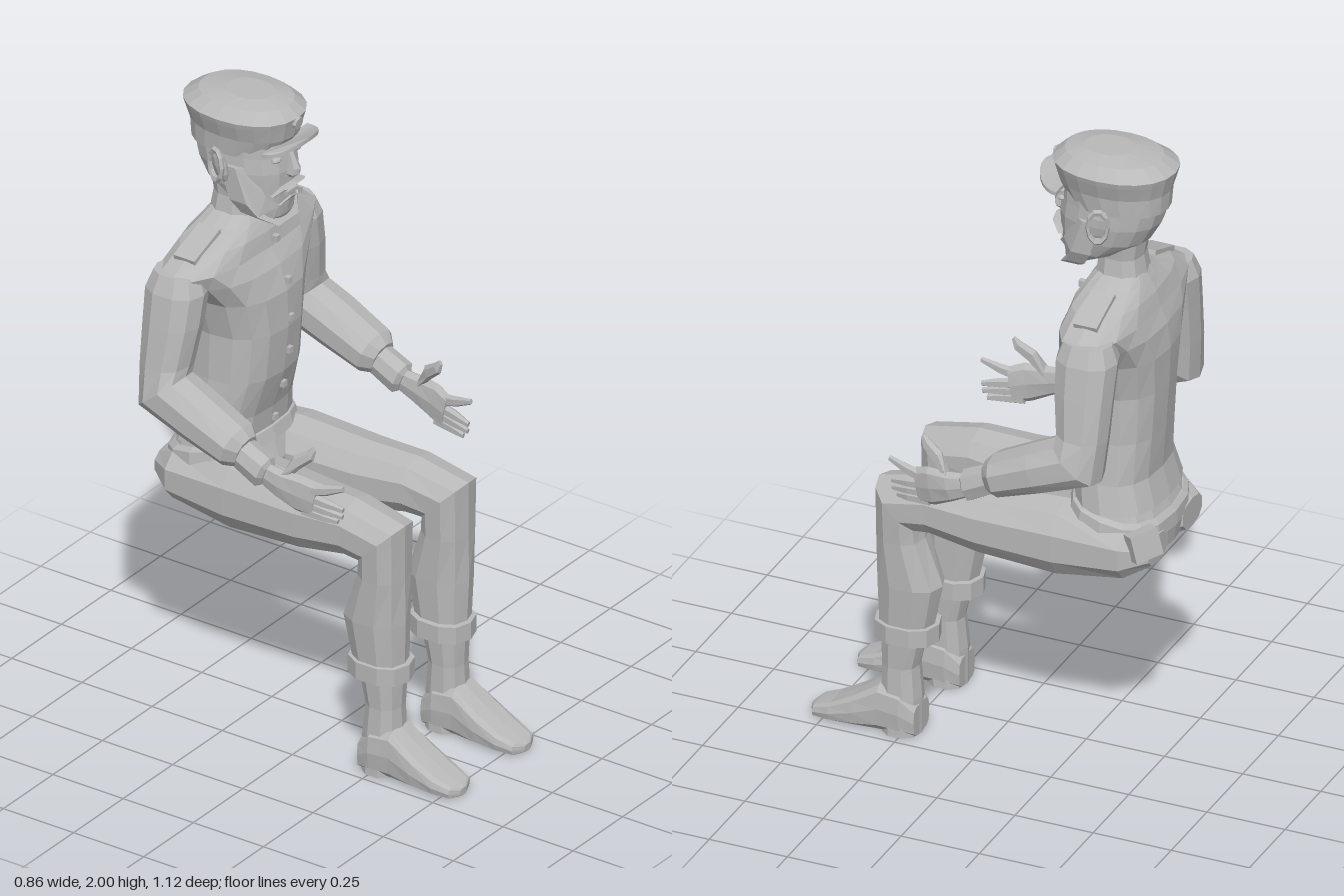
import * as THREE from 'three';

const cloth = new THREE.MeshStandardMaterial({ color: 0xb8b8b8, flatShading: true });
cloth.name = 'plain grey';

// Skin over rings [x, y, z, halfWidth, halfDepth, tilt]; tilt 0 is a level ring, 90 an upright one
function loft(rows, n = 10, power = 0.85) {
  const pos = [], idx = [];
  const bend = v => Math.sign(v) * Math.pow(Math.abs(v), power);
  rows.forEach(([x, y, z, w, d, tilt = 0]) => {
    const a = THREE.MathUtils.degToRad(tilt);
    for (let j = 0; j < n; j++) {
      const t = (j / n) * Math.PI * 2 + Math.PI / 2;
      const v = bend(Math.sin(t)) * d;
      pos.push(x + bend(Math.cos(t)) * w, y + v * Math.sin(a), z + v * Math.cos(a));
    }
  });
  for (let i = 0; i < rows.length - 1; i++) {
    for (let j = 0; j < n; j++) {
      const a = i * n + j, b = i * n + (j + 1) % n;
      idx.push(a, b, b + n, a, b + n, a + n);
    }
  }
  // end caps
  const first = rows.length * n, last = first + 1, base = first - n;
  pos.push(...rows[0].slice(0, 3), ...rows[rows.length - 1].slice(0, 3));
  for (let j = 0; j < n; j++) {
    const k = (j + 1) % n;
    idx.push(first, k, j, last, base + j, base + k);
  }
  const g = new THREE.BufferGeometry();
  g.setAttribute('position', new THREE.Float32BufferAttribute(pos, 3));
  g.setIndex(idx);
  g.computeVertexNormals();
  return g;
}

// Level rings [y, halfWidth, zFront, zBack], listed from the top down
const stack = (rows, n = 16, power = 0.8) =>
  loft(rows.map(([y, w, f, b]) => [0, y, (f + b) / 2, w, (f - b) / 2, 0]), n, power);

export function createModel() {
  const model = new THREE.Group();
  model.name = 'seatedMan';
  const add = (name, geo, p = [0, 0, 0], r = [0, 0, 0], s = [1, 1, 1]) => {
    const m = new THREE.Mesh(geo, cloth);
    m.name = name;
    m.position.set(...p);
    m.rotation.set(...r);
    m.scale.set(...s);
    model.add(m);
    return m;
  };
  const box = (x, y, z) => new THREE.BoxGeometry(x, y, z);

  // jacket, hips and belt
  add('jacket', stack([
    [1.61, 0.075, -0.3, -0.44], [1.585, 0.13, -0.28, -0.455], [1.55, 0.24, -0.26, -0.475],
    [1.5, 0.335, -0.25, -0.49], [1.45, 0.27, -0.22, -0.51], [1.37, 0.2, -0.195, -0.52],
    [1.25, 0.168, -0.19, -0.515], [1.1, 0.172, -0.205, -0.505], [0.97, 0.187, -0.245, -0.495],
    [0.88, 0.205, -0.255, -0.52]]));
  add('hips', stack([
    [0.89, 0.195, -0.255, -0.5], [0.8, 0.22, -0.22, -0.54], [0.73, 0.19, -0.22, -0.53],
    [0.68, 0.11, -0.25, -0.45]]));
  add('belt', loft([[0, 0.875, -0.392, 0.2, 0.135, 14], [0, 0.865, -0.392, 0.217, 0.15, 14],
    [0, 0.825, -0.388, 0.222, 0.158, 14], [0, 0.815, -0.388, 0.2, 0.135, 14]], 16, 0.8));
  add('beltPouch', box(0.09, 0.085, 0.045), [0.19, 0.81, -0.52], [0.25, -0.65, 0]);

  // jacket buttons
  [[1.525, -0.242], [1.4, -0.199], [1.28, -0.19], [1.17, -0.195], [1.05, -0.217], [0.93, -0.247]].forEach(([y, z]) =>
    add('button', box(0.018, 0.02, 0.018), [0.01, y, z]));

  // neck and head
  add('neck', stack([[1.76, 0.08, -0.29, -0.45], [1.66, 0.07, -0.3, -0.435], [1.57, 0.085, -0.29, -0.45]], 10));
  add('head', stack([
    [1.91, 0.112, -0.185, -0.5], [1.83, 0.114, -0.183, -0.505], [1.78, 0.116, -0.178, -0.49],
    [1.72, 0.108, -0.182, -0.455], [1.67, 0.094, -0.188, -0.38], [1.63, 0.07, -0.195, -0.29],
    [1.61, 0.04, -0.205, -0.265]], 16, 0.9));

  // beard: a U-shaped slab wrapped round the jaw
  const u = new THREE.Shape();
  u.moveTo(-0.125, 1.8);
  [[-0.122, 1.69], [-0.1, 1.645], [-0.05, 1.608], [0.05, 1.608], [0.1, 1.645], [0.122, 1.69], [0.125, 1.8],
    [0.1, 1.8], [0.08, 1.71], [0.045, 1.675], [0, 1.69], [-0.045, 1.675], [-0.08, 1.71], [-0.1, 1.8]]
    .forEach(p => u.lineTo(...p));
  const beard = new THREE.ExtrudeGeometry(u, { depth: 0.06, bevelEnabled: false });
  const bp = beard.attributes.position;
  for (let i = 0; i < bp.count; i++) {
    const x = bp.getX(i), y = bp.getY(i);
    bp.setZ(i, bp.getZ(i) - 0.237 - 5.2 * x * x - Math.max(0, y - 1.7) * 0.35);
  }
  beard.computeVertexNormals();
  add('beard', beard);

  // face
  add('nose', loft([[0, 1.835, -0.185, 0.01, 0.012], [0, 1.79, -0.172, 0.018, 0.022],
    [0, 1.77, -0.175, 0.022, 0.024], [0, 1.758, -0.182, 0.012, 0.012]], 6));
  add('mouth', box(0.05, 0.012, 0.02), [0, 1.708, -0.185]);
  for (const s of [1, -1]) {
    add('moustache', loft([[0, 1.742, -0.168, 0.006, 0.014, 0], [s * 0.04, 1.735, -0.177, 0.014, 0.016, 0],
      [s * 0.068, 1.712, -0.198, 0.006, 0.008, 0]], 6));
    add('eye', new THREE.SphereGeometry(0.02, 8, 6), [s * 0.05, 1.825, -0.198], [0, 0, 0], [1, 0.5, 0.7]);
    add('eyebrow', box(0.055, 0.012, 0.02), [s * 0.052, 1.855, -0.195], [0, s * 0.3, -s * 0.12]);
    add('ear', new THREE.SphereGeometry(0.055, 8, 6), [s * 0.128, 1.8, -0.345], [-0.2, s * 0.35, -s * 0.1], [0.28, 1.05, 0.62]);
    add('earRim', new THREE.TorusGeometry(0.04, 0.009, 5, 10), [s * 0.14, 1.802, -0.35],
      [0, s * (Math.PI / 2 + 0.35), 0], [0.75, 1.25, 1]);
  }

  // cap with visor and badge
  add('capCrown', stack([
    [2, 0.06, -0.25, -0.4], [1.988, 0.11, -0.19, -0.49], [1.957, 0.147, -0.155, -0.537],
    [1.94, 0.142, -0.16, -0.532], [1.89, 0.124, -0.172, -0.518], [1.83, 0.118, -0.21, -0.512]], 20, 0.92));
  const brim = new THREE.Shape().absellipse(0, 0, 0.115, 0.09, Math.PI, Math.PI * 2);
  const visor = new THREE.ExtrudeGeometry(brim, { depth: 0.012, bevelEnabled: false, curveSegments: 8 });
  visor.rotateX(-Math.PI / 2);
  const vp = visor.attributes.position;
  for (let i = 0; i < vp.count; i++) vp.setY(i, vp.getY(i) - 2.4 * vp.getX(i) ** 2);
  visor.computeVertexNormals();
  add('capVisor', visor, [0, 1.892, -0.205]);
  add('capBadge', new THREE.CylinderGeometry(0.02, 0.02, 0.02, 8), [0, 1.94, -0.162], [Math.PI / 2 + 0.15, 0, 0]);

  for (const s of [1, -1]) {
    // mirror a limb by its ring centres
    const limb = (name, rows, n, power) => add(name, loft(rows.map(([x, ...r]) => [s * x, ...r]), n, power));

    add('shoulderStrap', box(0.14, 0.02, 0.075), [s * 0.205, 1.56, -0.37], [0, 0, -s * 0.36]);

    // sleeve and cuff
    limb('sleeve', [
      [0.28, 1.505, -0.385, 0.06, 0.075, 0], [0.285, 1.45, -0.385, 0.08, 0.095, 0], [0.305, 1.35, -0.385, 0.078, 0.09, 0],
      [0.328, 1.22, -0.39, 0.077, 0.078, 5], [0.345, 1.14, -0.385, 0.083, 0.092, 40],
      [0.347, 1.09, -0.26, 0.085, 0.075, 70], [0.346, 1.035, -0.13, 0.08, 0.064, 72],
      [0.345, 1.02, -0.1, 0.05, 0.05, 72]]);
    limb('cuff', [[0.345, 1.025, -0.13, 0.047, 0.046, 72], [0.345, 0.975, -0.03, 0.047, 0.05, 72],
      [0.345, 0.97, -0.02, 0.03, 0.035, 72]], 8);

    // hand
    limb('palm', [[0.345, 0.975, -0.04, 0.022, 0.034, 72], [0.347, 0.955, 0.03, 0.025, 0.048, 75],
      [0.34, 0.94, 0.09, 0.022, 0.062, 78], [0.328, 0.925, 0.14, 0.017, 0.058, 80]], 8);
    limb('thumb', [[0.345, 0.975, 0.03, 0.018, 0.03, 70], [0.33, 1.035, 0.075, 0.017, 0.022, 125],
      [0.32, 1.065, 0.115, 0.014, 0.018, 125], [0.318, 1.088, 0.128, 0.006, 0.008, 130]], 6);
    limb('indexFinger', [[0.335, 0.955, 0.11, 0.016, 0.022, 90], [0.328, 0.97, 0.175, 0.013, 0.017, 100],
      [0.322, 0.99, 0.233, 0.007, 0.009, 100]], 6);
    [[0.935, 0.915, 0.228], [0.91, 0.892, 0.226], [0.885, 0.872, 0.21]].forEach(([y0, y1, z1]) =>
      limb('finger', [[0.333, y0, 0.1, 0.015, 0.018, 85], [0.325, (y0 + y1) / 2, 0.17, 0.014, 0.016, 82],
        [0.316, y1, z1, 0.007, 0.009, 80]], 6));

    // trouser leg and its turned-up cuff
    limb('trouserLeg', [
      [0.12, 0.765, -0.535, 0.07, 0.045, 90], [0.13, 0.765, -0.46, 0.118, 0.09, 90], [0.14, 0.76, -0.25, 0.115, 0.118, 90],
      [0.147, 0.762, 0, 0.105, 0.104, 90], [0.155, 0.776, 0.16, 0.092, 0.088, 88], [0.16, 0.757, 0.268, 0.086, 0.1, 45],
      [0.16, 0.65, 0.265, 0.08, 0.073, 0], [0.16, 0.5, 0.238, 0.076, 0.102, 0], [0.157, 0.36, 0.25, 0.068, 0.085, 0]]);
    limb('trouserCuff', [[0.155, 0.37, 0.25, 0.066, 0.08, 0], [0.155, 0.368, 0.25, 0.081, 0.1, 0],
      [0.155, 0.312, 0.25, 0.081, 0.1, 0], [0.155, 0.31, 0.25, 0.06, 0.075, 0]]);

    // boot
    limb('bootShaft', [[0.157, 0.33, 0.258, 0.062, 0.072, 0], [0.158, 0.22, 0.268, 0.056, 0.056, 0],
      [0.16, 0.12, 0.265, 0.06, 0.063, 0], [0.16, 0, 0.262, 0.066, 0.06, 0]]);
    limb('bootFoot', [
      [0.16, 0.05, 0.205, 0.055, 0.05, 90], [0.16, 0.075, 0.25, 0.068, 0.075, 90], [0.16, 0.08, 0.32, 0.066, 0.08, 90],
      [0.16, 0.052, 0.4, 0.071, 0.052, 90], [0.16, 0.03, 0.475, 0.068, 0.03, 90], [0.16, 0.019, 0.53, 0.056, 0.019, 90],
      [0.162, 0.014, 0.548, 0.015, 0.012, 90]], 12, 0.55);
  }
  return model;
}
